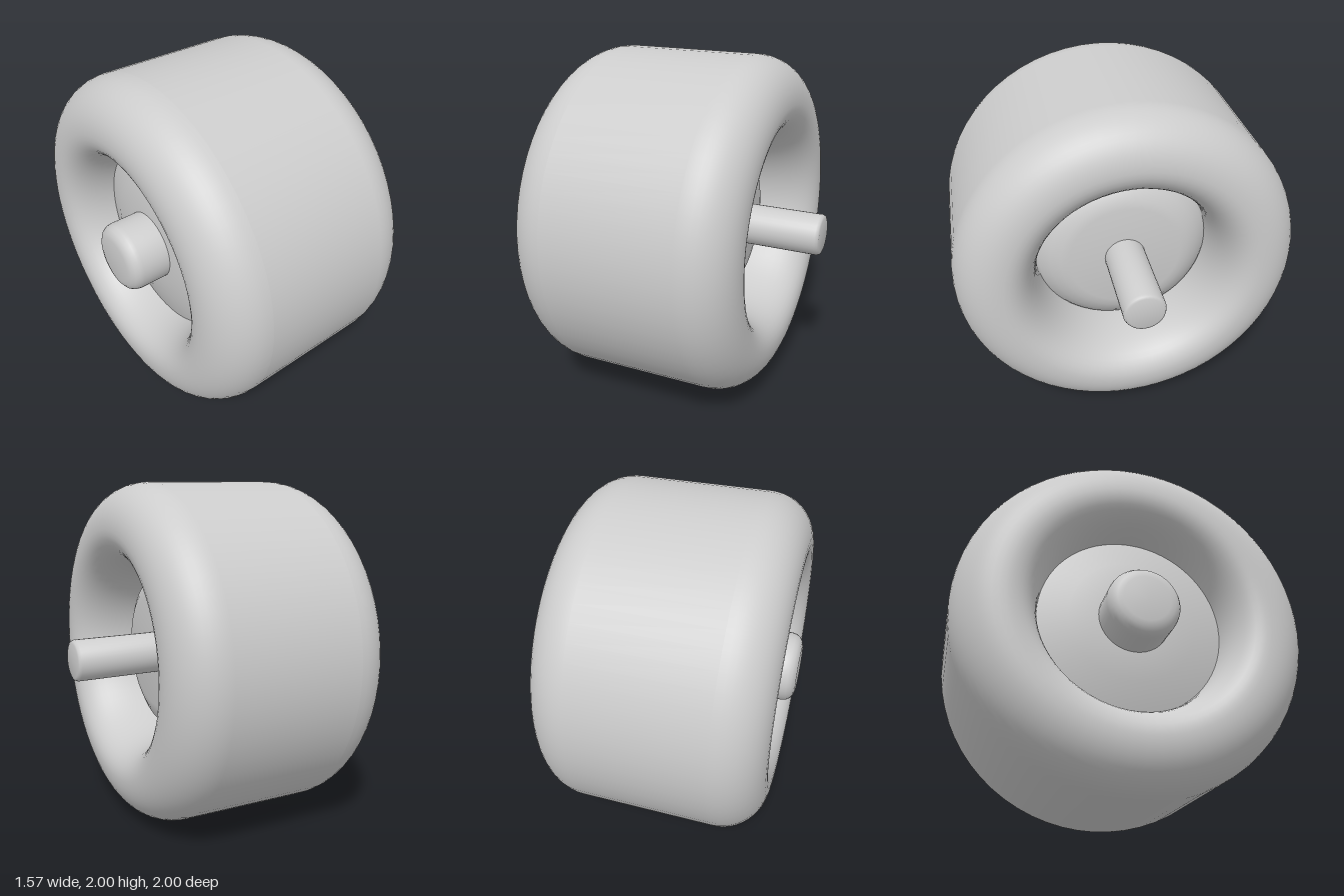
import * as THREE from 'three';
import { toCreasedNormals } from 'three/addons/utils/BufferGeometryUtils.js';

export function createModel() {
  const model = new THREE.Group();
  const grey = new THREE.MeshStandardMaterial({ color: 0xcccccc });
  grey.name = 'light grey';

  // Turns a profile of (radius, x) points around the x axis
  function addTurned(name, points, segments, crease) {
    let geometry = new THREE.LatheGeometry(points, segments);
    geometry.rotateZ(-Math.PI / 2);
    if (crease) geometry = toCreasedNormals(geometry, crease);
    const mesh = new THREE.Mesh(geometry, grey);
    mesh.name = name;
    mesh.position.y = 1;
    model.add(mesh);
  }
  const profile = (list) => list.map(([x, r]) => new THREE.Vector2(r, x));

  // Tyre: wide tread, round shoulders, flared bore on both sides
  const tyre = new THREE.Path();
  tyre.moveTo(1, -0.47);
  tyre.lineTo(0.995, 0.3);
  tyre.bezierCurveTo(0.995, 0.45, 0.88, 0.565, 0.73, 0.565);
  tyre.bezierCurveTo(0.6, 0.565, 0.515, 0.42, 0.515, 0.15);
  tyre.lineTo(0.525, -0.35);
  tyre.bezierCurveTo(0.53, -0.62, 0.6, -0.74, 0.73, -0.74);
  tyre.bezierCurveTo(0.88, -0.74, 1, -0.62, 1, -0.47);
  addTurned('tyre', tyre.getPoints(12), 64);

  // Hub: shallow dome on the outside, bevelled face on the axle side
  addTurned('hub', profile([
    [-0.55, 0], [-0.55, 0.2], [-0.53, 0.36], [-0.47, 0.54],
    [0.15, 0.53], [0.19, 0.5], [0.24, 0.44], [0.27, 0.38], [0.28, 0.33], [0.28, 0],
  ]), 48, 0.7);

  // Axle stub with a small chamfer
  addTurned('axle', profile([
    [0.2, 0], [0.2, 0.12], [0.765, 0.12], [0.78, 0.113], [0.785, 0.1], [0.785, 0],
  ]), 32, 0.8);

  // Rounded cap on the outer end
  addTurned('hubCap', profile([
    [-0.785, 0], [-0.785, 0.13], [-0.778, 0.16], [-0.762, 0.184],
    [-0.74, 0.198], [-0.715, 0.203], [-0.5, 0.203], [-0.5, 0],
  ]), 40, 0.8);

  return model;
}
